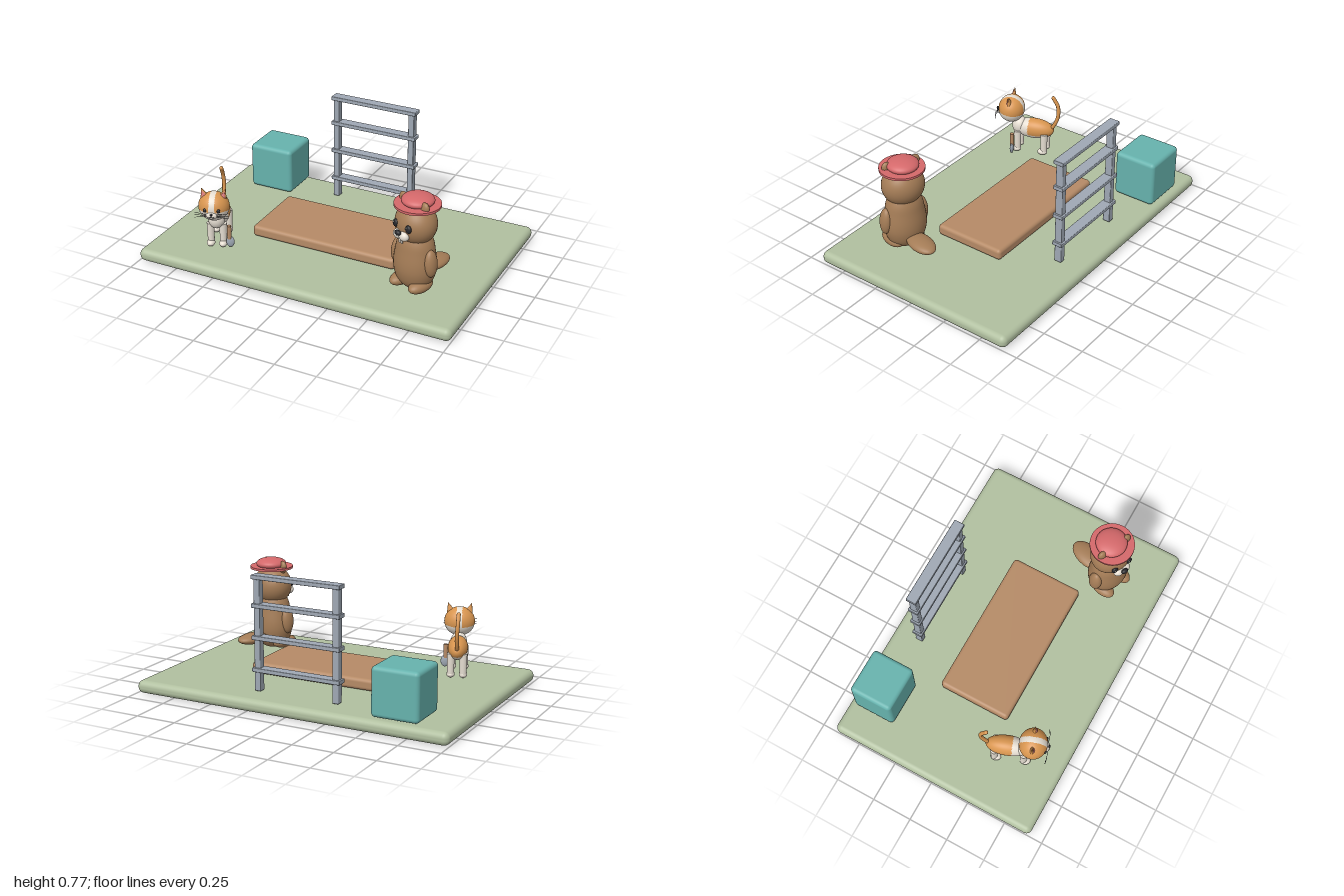
import * as THREE from 'three';
import { RoundedBoxGeometry } from 'three/addons/geometries/RoundedBoxGeometry.js';

const mat = (name, color) => {
  const m = new THREE.MeshStandardMaterial({ color });
  m.name = name;
  return m;
};

export function createModel() {
  const sage = mat('sage', 0xb0bf9f), tan = mat('tan', 0xb58a66), steel = mat('steel', 0x9fa8b4);
  const teal = mat('teal', 0x66b2ad), brown = mat('brown', 0xa47c56), red = mat('red', 0xd4686a);
  const orange = mat('orange', 0xd8954f), cream = mat('cream', 0xe6ded2), black = mat('black', 0x26262a);
  const pink = mat('pink', 0xdf8080);

  const add = (parent, name, geo, material, x = 0, y = 0, z = 0) => {
    const m = new THREE.Mesh(geo, material);
    m.name = name;
    m.position.set(x, y, z);
    parent.add(m);
    return m;
  };
  const group = (parent, name, x, y, z, yaw) => {
    const g = new THREE.Group();
    g.name = name;
    g.position.set(x, y, z);
    g.rotation.y = yaw;
    parent.add(g);
    return g;
  };
  const ball = (rx, ry, rz, n = 32) => new THREE.SphereGeometry(1, n, Math.round(n * 0.75)).scale(rx, ry, rz);
  const tube = (pts, r, n = 24) => new THREE.TubeGeometry(
    new THREE.CatmullRomCurve3(pts.map(p => new THREE.Vector3(...p))), n, r, 10);
  // sorts faces into two material groups by a rule on the face centre
  const twoTone = (geo, rule) => {
    const p = geo.attributes.position, idx = geo.index.array, lists = [[], []];
    const c = new THREE.Vector3(), v = new THREE.Vector3();
    for (let i = 0; i < idx.length; i += 3) {
      c.set(0, 0, 0);
      for (let k = 0; k < 3; k++) c.add(v.fromBufferAttribute(p, idx[i + k]));
      c.divideScalar(3);
      lists[rule(c) ? 1 : 0].push(idx[i], idx[i + 1], idx[i + 2]);
    }
    geo.setIndex([...lists[0], ...lists[1]]);
    geo.addGroup(0, lists[0].length, 0);
    geo.addGroup(lists[0].length, lists[1].length, 1);
    return geo;
  };

  const root = new THREE.Group();
  root.name = 'playground';

  // ground, mat and block
  add(root, 'ground', new RoundedBoxGeometry(2, 0.078, 1.33, 5, 0.035), sage, 0, 0.039, 0);
  add(root, 'lowPlatform', new RoundedBoxGeometry(0.935, 0.07, 0.455, 4, 0.022), tan, -0.002, 0.119, -0.004);
  add(root, 'block', new RoundedBoxGeometry(0.288, 0.29, 0.27, 4, 0.025), teal, -0.67, 0.231, -0.5);

  // climbing frame
  const frame = group(root, 'climbingFrame', -0.003, 0, -0.498, 0);
  for (const s of [-1, 1])
    add(frame, 'post', new RoundedBoxGeometry(0.038, 0.67, 0.046, 2, 0.005), steel, s * 0.252, 0.42, 0);
  for (const y of [0.212, 0.402, 0.59, 0.756])
    add(frame, 'rung', new RoundedBoxGeometry(0.565, 0.025, 0.065, 2, 0.004), steel, 0, y, 0);

  // beaver body
  const beaver = group(root, 'beaver', 0.64, 0, 0.32, -0.3);
  const profile = [[0, 0.095], [0.06, 0.1], [0.105, 0.14], [0.127, 0.2], [0.13, 0.26], [0.12, 0.33],
    [0.106, 0.395], [0.07, 0.45], [0, 0.47]].map(p => new THREE.Vector2(...p));
  const spline = new THREE.SplineCurve(profile).getPoints(32);
  spline.forEach(p => { p.x = Math.max(p.x, 0); });
  add(beaver, 'body', new THREE.LatheGeometry(spline, 40).scale(1, 1, 0.86), brown);
  for (const s of [-1, 1]) {
    const arm = add(beaver, 'arm', ball(0.034, 0.083, 0.043), brown, s * 0.122, 0.282, 0.01);
    arm.rotation.z = s * 0.08;
    add(beaver, 'foot', ball(0.05, 0.038, 0.09), brown, s * 0.07, 0.13, 0.03);
  }
  add(beaver, 'tail', ball(0.068, 0.034, 0.118), brown, 0, 0.175, -0.165);

  // beaver head, face and hat
  const bHead = group(root, 'beaverHead', 0.64, 0.495, 0.322, -0.43);
  add(bHead, 'head', ball(0.128, 0.122, 0.114, 40), brown);
  for (const s of [-1, 1]) {
    add(bHead, 'eye', ball(0.021, 0.024, 0.014, 20), black, s * 0.052, 0.01, 0.103);
    add(bHead, 'eyeGlint', ball(0.005, 0.005, 0.004, 10), cream, s * 0.052 - 0.006, 0.019, 0.115);
    add(bHead, 'cheek', ball(0.033, 0.029, 0.027, 24), cream, s * 0.023, -0.042, 0.108);
    add(bHead, 'tooth', new THREE.BoxGeometry(0.013, 0.026, 0.008), cream, s * 0.0075, -0.078, 0.11);
    const ear = add(bHead, 'ear', ball(0.032, 0.04, 0.02, 24), brown, s * 0.085, 0.122, 0.018);
    ear.rotation.z = -s * 0.3;
  }
  add(bHead, 'nose', ball(0.022, 0.016, 0.015, 20), black, 0, -0.02, 0.134);
  add(bHead, 'hatBrim', new THREE.CylinderGeometry(0.133, 0.133, 0.014, 48), red, 0.003, 0.115, -0.005);
  add(bHead, 'hatCrown', ball(0.094, 0.037, 0.094), red, 0, 0.138, -0.01);

  // cat body
  const cat = group(root, 'cat', -0.63, 0, 0.33, 0.35);
  add(cat, 'body', twoTone(ball(0.06, 0.066, 0.13, 64), c => c.z > 0.03 || c.y < -0.03),
    [orange, cream], 0, 0.25, -0.01);
  add(cat, 'chest', ball(0.05, 0.06, 0.05), cream, 0, 0.26, 0.085);
  for (const s of [-1, 1]) for (const z of [-0.085, 0.09]) {
    add(cat, 'leg', new THREE.CylinderGeometry(0.023, 0.02, 0.13, 20), cream, s * 0.037, 0.17, z);
    add(cat, 'paw', ball(0.025, 0.02, 0.032, 20), cream, s * 0.037, 0.105, z + 0.01);
  }
  add(cat, 'tail', tube([[0, 0.25, -0.11], [0, 0.29, -0.14], [0, 0.36, -0.166], [-0.004, 0.43, -0.163],
    [-0.006, 0.486, -0.132]], 0.012), orange);
  add(cat, 'tailTip', ball(0.012, 0.012, 0.012, 12), orange, -0.006, 0.486, -0.132);

  // cat head
  const cHead = group(cat, 'catHead', 0, 0.375, 0.14, 0);
  const headGeo = twoTone(ball(0.092, 0.088, 0.084, 96),
    c => Math.abs(c.x) < 0.017 || c.y < -0.014 + 0.1 * c.z);
  add(cHead, 'head', headGeo, [orange, cream]);
  add(cHead, 'muzzle', ball(0.034, 0.023, 0.022, 24), cream, 0, -0.026, 0.074);
  add(cHead, 'nose', ball(0.009, 0.006, 0.006, 12), black, 0, -0.012, 0.095);
  for (const s of [-1, 1]) {
    add(cHead, 'eye', ball(0.011, 0.013, 0.008, 16), black, s * 0.04, 0.003, 0.074);
    const ear = group(cHead, 'ear', s * 0.06, 0.078, 0, 0);
    ear.rotation.z = -s * 0.32;
    add(ear, 'earOuter', new THREE.ConeGeometry(0.032, 0.075, 20).scale(1, 1, 0.55), orange);
    add(ear, 'earInner', new THREE.ConeGeometry(0.024, 0.058, 20).scale(1, 1, 0.5), pink, 0, -0.004, 0.008);
    add(cHead, 'mouth', tube([[0, -0.018, 0.096], [s * 0.006, -0.031, 0.095], [s * 0.018, -0.031, 0.093]],
      0.0018, 8), black);
    for (const k of [-1, 0, 1])
      add(cHead, 'whisker', tube([[s * 0.03, -0.022 + k * 0.006, 0.085], [s * 0.065, -0.02 + k * 0.011, 0.088],
        [s * 0.1, -0.022 + k * 0.017, 0.082]], 0.0013, 8), black);
  }

  // small spade standing beside the cat
  const spade = group(root, 'toySpade', -0.512, 0, 0.41, 0.35);
  add(spade, 'handle', new THREE.CylinderGeometry(0.013, 0.013, 0.085, 16), tan, -0.005, 0.19, 0);
  add(spade, 'blade', ball(0.025, 0.036, 0.012, 20), steel, 0, 0.128, 0);

  return root;
}
